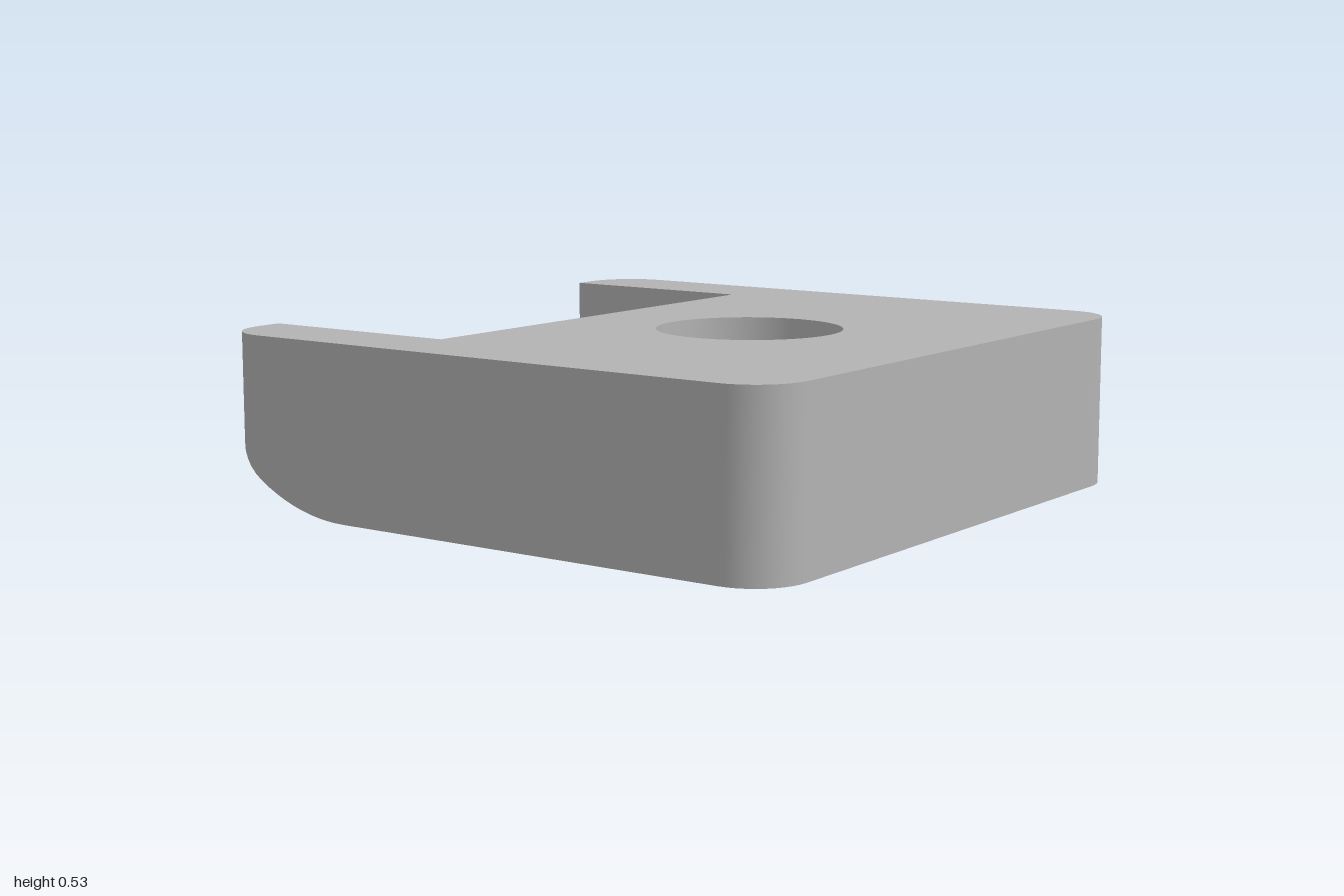
import * as THREE from 'three';
import { toCreasedNormals } from 'three/addons/utils/BufferGeometryUtils.js';

const H = 0.533, R = 0.167;                 // block height, plan corner radius
const FLOOR = 0.297, PZ = 0.75, PX = -0.333; // pocket floor, half width, inner end
const HX = 0.25, HR = 0.285, CR = 0.5, CD = 0.167; // bore centre, radius, counterbore radius and depth
const AX = -0.5, AR = 0.625;                // start and radius of the curved underside
const SEG = 48;

// half depth of the plan and height of the underside at x
const halfDepth = (x) => {
  const d = Math.max(0, Math.abs(x) - (1 - R));
  return 1 - R + Math.sqrt(Math.max(0, R * R - d * d));
};
const underside = (x) => (x < AX ? AR - Math.sqrt(AR * AR - (x - AX) ** 2) : 0);

// x stations: left corner, curved underside, right corner
const corner = [];
for (let i = 0; i <= 10; i++) corner.push(1 - R + R * Math.cos((i / 10) * Math.PI / 2));
const curve = [];
for (let i = 1; i <= 10; i++) curve.push(-(1 - R) + (i / 10) * (AX + 1 - R));
const stations = [...corner.map((x) => -x), ...curve, ...corner.slice().reverse()];

// quads between a lower and an upper line of points
function strip(a, b) {
  const pos = [];
  for (let i = 0; i < a.length - 1; i++) {
    pos.push(...a[i], ...a[i + 1], ...b[i + 1], ...a[i], ...b[i + 1], ...b[i]);
  }
  const g = new THREE.BufferGeometry();
  g.setAttribute('position', new THREE.Float32BufferAttribute(pos, 3));
  g.computeVertexNormals();
  return toCreasedNormals(g, 0.5);
}

function circle(r, y) {
  return Array.from({ length: SEG + 1 }, (_, i) => {
    const t = (i / SEG) * Math.PI * 2;
    return [HX + r * Math.cos(t), y, r * Math.sin(t)];
  });
}

// flat face with a round hole, from plan points [x, z]
function plate(points, r) {
  const shape = new THREE.Shape(points.map(([x, z]) => new THREE.Vector2(x, z)));
  shape.holes.push(new THREE.Path(circle(r, 0).slice(0, SEG).map((p) => new THREE.Vector2(p[0], p[2]))));
  return new THREE.ShapeGeometry(shape).rotateX(Math.PI / 2);
}

export function createModel() {
  const group = new THREE.Group();
  const grey = new THREE.MeshStandardMaterial({ color: 0xb3b3b3 });
  grey.name = 'grey';
  const add = (name, geometry) => {
    const mesh = new THREE.Mesh(geometry, grey);
    mesh.name = name;
    group.add(mesh);
    return mesh;
  };

  const front = stations.map((x) => [x, halfDepth(x)]);
  const back = front.map(([x, z]) => [x, -z]).reverse();

  // outer wall, lowered to the pocket floor at the open end
  const rim = [
    ...[...front, ...back].map(([x, z]) => [x, H, z]),
    [-1, H, -PZ], [-1, FLOOR, -PZ], [-1, FLOOR, PZ], [-1, H, PZ], [-1, H, 1 - R],
  ];
  add('outerWall', strip(rim.map(([x, , z]) => [x, underside(x), z]), rim));

  // top face around the pocket and bore (turned over to face up)
  const notch = [[-1, -PZ], [PX, -PZ], [PX, PZ], [-1, PZ]];
  const top = plate([...front, ...back, ...notch], HR);
  top.rotateX(Math.PI).translate(0, H, 0);
  add('topFace', top);

  // pocket
  const pocket = (y) => notch.map(([x, z]) => [x, y, z]);
  add('pocketWalls', strip(pocket(FLOOR), pocket(H)));
  const floor = new THREE.PlaneGeometry(PX + 1, 2 * PZ).rotateX(-Math.PI / 2);
  add('pocketFloor', floor.translate((PX - 1) / 2, FLOOR, 0));

  // underside: flat plate and curved end
  const flat = ([x]) => x >= AX - 1e-6;
  add('flatUnderside', plate([...front.filter(flat), ...back.filter(flat)], CR));
  const bend = stations.filter((x) => x <= AX + 1e-6);
  add('curvedUnderside', strip(
    bend.map((x) => [x, underside(x), -halfDepth(x)]),
    bend.map((x) => [x, underside(x), halfDepth(x)]),
  ));

  // stepped bore
  add('boreWall', strip(circle(HR, CD), circle(HR, H)));
  add('counterboreWall', strip(circle(CR, 0), circle(CR, CD)));
  const step = new THREE.RingGeometry(HR, CR, SEG).rotateX(Math.PI / 2);
  add('counterboreStep', step.translate(HX, CD, 0));

  return group;
}
